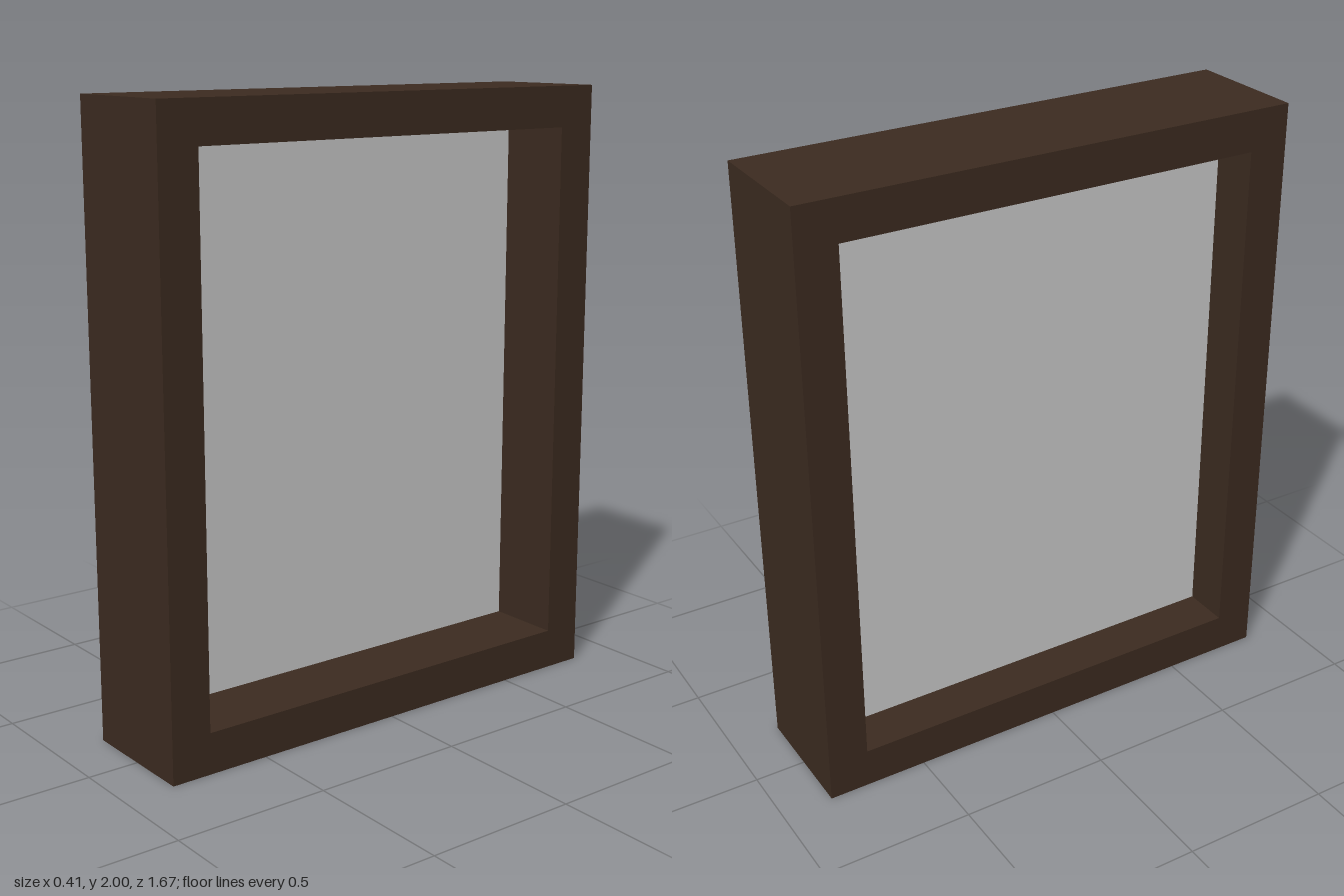
import * as THREE from 'three';

const HEIGHT = 2, WIDTH = 1.667, DEPTH = 0.415, BORDER = 0.133;

// Rectangle outline centred on x = 0 and y = HEIGHT / 2
function rectangle(PathType, w, h) {
  const x = w / 2, y0 = (HEIGHT - h) / 2, y1 = y0 + h;
  return new PathType().moveTo(-x, y0).lineTo(x, y0).lineTo(x, y1).lineTo(-x, y1).closePath();
}

export function createModel() {
  const wood = new THREE.MeshStandardMaterial({ name: 'dark brown wood', color: 0x3c2b20 });
  const glass = new THREE.MeshStandardMaterial({ name: 'pale grey glass', color: 0xc9c9c9 });
  const openW = WIDTH - 2 * BORDER, openH = HEIGHT - 2 * BORDER;

  const group = new THREE.Group();
  group.name = 'window';

  // Deep frame with a rectangular opening, facing along x
  const outline = rectangle(THREE.Shape, WIDTH, HEIGHT);
  outline.holes.push(rectangle(THREE.Path, openW, openH));
  const frameGeometry = new THREE.ExtrudeGeometry(outline, { depth: DEPTH, bevelEnabled: false });
  frameGeometry.translate(0, 0, -DEPTH / 2).rotateY(Math.PI / 2);
  const frame = new THREE.Mesh(frameGeometry, wood);
  frame.name = 'frame';
  group.add(frame);

  // Thin pane set slightly off the middle of the frame
  const pane = new THREE.Mesh(new THREE.BoxGeometry(0.004, openH, openW), glass);
  pane.name = 'pane';
  pane.position.set(-0.046, HEIGHT / 2, 0);
  group.add(pane);

  return group;
}
